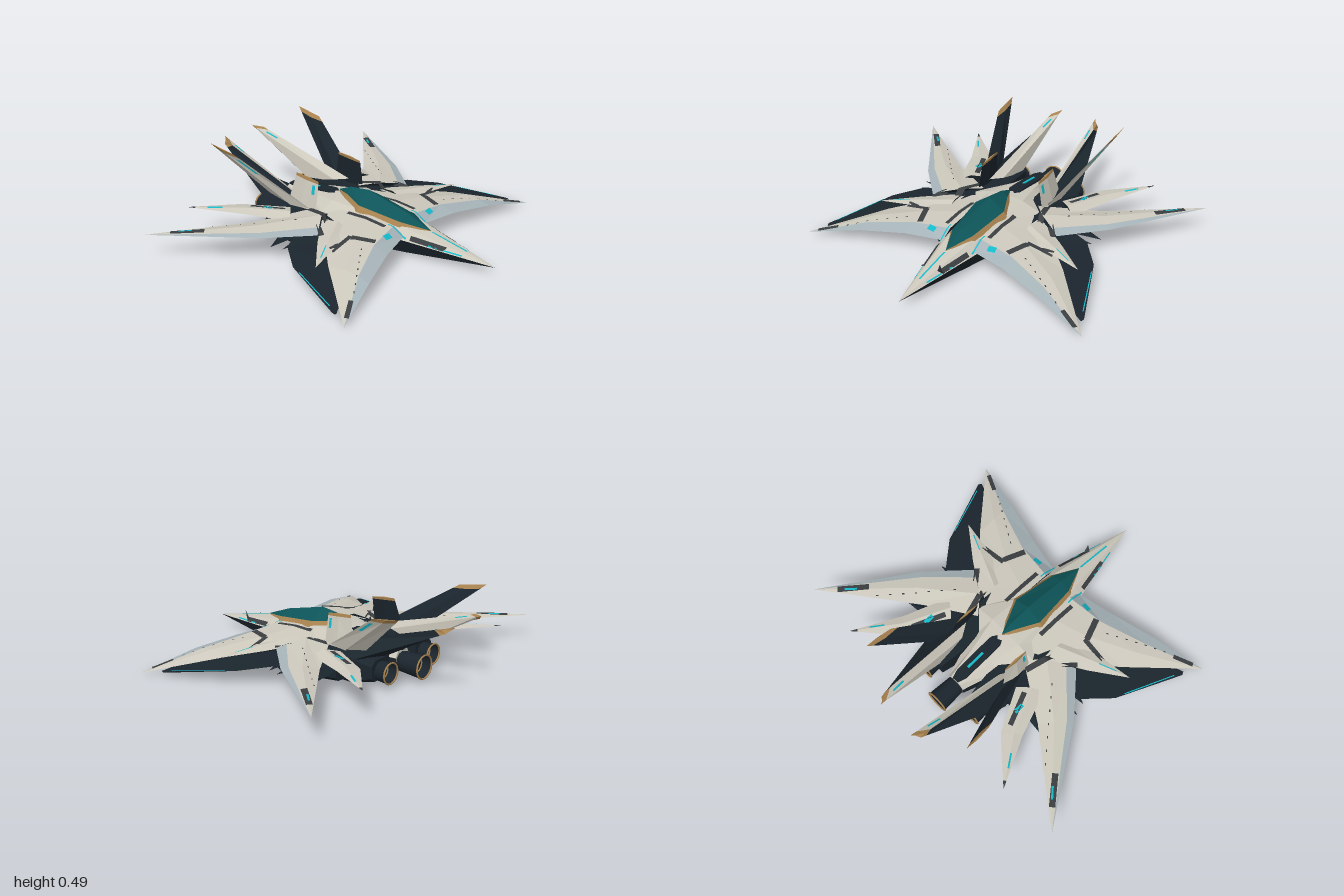
import * as THREE from 'three';

const colour = (name, color, extra = {}) => Object.assign(new THREE.MeshStandardMaterial({ color, ...extra }), { name });

export function createModel() {
  const ship = new THREE.Group();
  ship.name = 'starfighter';
  const both = { side: THREE.DoubleSide };
  const light = colour('hull ivory', 0xccc8bc);
  const steel = colour('edge blue grey', 0xa6b3b8);
  const dark = colour('dark navy', 0x1b252d, both);
  const grey = colour('panel charcoal', 0x3a3e41, both);
  const gold = colour('gold trim', 0xa98350, both);
  const teal = colour('canopy teal', 0x0d5458);
  const cyan = colour('cyan glow', 0x14b8c8, both);

  const mesh = (name, geo, mat) => {
    const m = new THREE.Mesh(geo, mat);
    m.name = name;
    ship.add(m);
    return m;
  };

  // Faceted solid through point loops; side strip j takes mats[j], the end beyond tip.at takes tip.mat
  function loft(name, loops, mats, { s = 1, tip } = {}) {
    const rings = loops.map(l => l.map(p => new THREE.Vector3(p[0] * s, p[1], p[2])));
    if (tip) {
      const [a, b] = rings.slice(-2);
      rings.splice(-1, 0, a.map((p, i) => p.clone().lerp(b[i], tip.at)));
    }
    const buckets = new Map();
    const n = mats.length;
    let volume = 0;
    const tri = (mat, a, b, c) => {
      const cross = b.clone().sub(a).cross(c.clone().sub(a));
      if (cross.length() < 1e-9) return;
      volume += a.dot(b.clone().cross(c));
      if (!buckets.has(mat)) buckets.set(mat, []);
      buckets.get(mat).push([a, b, c]);
    };
    for (let i = 0; i < rings.length - 1; i++) {
      const end = tip && i === rings.length - 2;
      for (let j = 0; j < n; j++) {
        const k = (j + 1) % n, m = end ? tip.mat : mats[j], A = rings[i], B = rings[i + 1];
        tri(m, A[j], A[k], B[k]);
        tri(m, A[j], B[k], B[j]);
      }
    }
    const first = rings[0], last = rings[rings.length - 1];
    for (let j = 1; j < n - 1; j++) {
      tri(mats[n - 1], first[0], first[j + 1], first[j]);
      tri(tip ? tip.mat : mats[n - 1], last[0], last[j], last[j + 1]);
    }
    const geo = new THREE.BufferGeometry(), pts = [], used = [...buckets.keys()];
    used.forEach((m, g) => {
      const start = pts.length;
      for (const [a, b, c] of buckets.get(m)) pts.push(...(volume > 0 ? [a, b, c] : [a, c, b]));
      geo.addGroup(start, pts.length - start, g);
    });
    geo.setFromPoints(pts);
    geo.computeVertexNormals();
    return mesh(name, geo, used);
  }
  const point = (p, n) => Array(n).fill(p);

  // Painted strip along an [x, z] path, draped on the target meshes
  const ray = new THREE.Raycaster();
  function paint(name, path, width, mat, targets) {
    const pos = [], idx = [];
    const v = path.map(p => new THREE.Vector2(p[0], p[1]));
    let y = 0.15;
    const drop = p => {
      ray.set(new THREE.Vector3(p.x, 2, p.y), new THREE.Vector3(0, -1, 0));
      const hit = ray.intersectObjects(targets, false)[0];
      if (hit) y = hit.point.y;
      pos.push(p.x, y + 0.004, p.y);
    };
    for (let i = 0; i < v.length - 1; i++) {
      const side = v[i + 1].clone().sub(v[i]).normalize();
      side.set(-side.y, side.x).multiplyScalar(width / 2);
      for (let k = 0; k <= 10; k++) {
        const c = v[i].clone().lerp(v[i + 1], k / 10), b = pos.length / 3;
        drop(c.clone().add(side));
        drop(c.clone().sub(side));
        if (k < 10) idx.push(b, b + 2, b + 1, b + 1, b + 2, b + 3);
      }
    }
    const geo = new THREE.BufferGeometry();
    geo.setAttribute('position', new THREE.Float32BufferAttribute(pos, 3));
    geo.setIndex(idx);
    geo.computeVertexNormals();
    mesh(name, geo, mat);
  }

  // Small flat mark on a fin face given by its root and tip edges
  function finMark(name, s, [r0, r1, t0, t1], us, vs) {
    const V = p => new THREE.Vector3(...p);
    const at = (u, v) => V(r0).lerp(V(r1), u).lerp(V(t0).lerp(V(t1), u), v);
    const pts = [[0, 0], [1, 0], [1, 1], [0, 0], [1, 1], [0, 1]].map(([i, j]) => at(us[i], vs[j]));
    pts.forEach(p => { p.x = (p.x + 0.004) * s; });
    const geo = new THREE.BufferGeometry().setFromPoints(pts);
    geo.computeVertexNormals();
    mesh(name, geo, cyan);
  }

  // Fuselage: z, top y, shoulder x/y, edge x/y, belly x/y
  const hull = loft('fuselage', [
    [0.93, 0.05, 0, 0.05, 0, 0.05, 0, 0.05],
    [0.4, 0.165, 0.07, 0.155, 0.125, 0.105, 0.08, 0.012],
    [0.1, 0.205, 0.1, 0.195, 0.18, 0.13, 0.13, 0],
    [-0.1, 0.215, 0.11, 0.205, 0.24, 0.16, 0.14, 0],
    [-0.28, 0.2, 0.07, 0.19, 0.13, 0.14, 0.12, 0],
    [-0.5, 0.175, 0.035, 0.168, 0.06, 0.12, 0.05, 0.03],
  ].map(([z, t, sx, sy, ex, ey, bx, by]) => [
    [0, t, z], [sx, sy, z], [ex, ey, z], [bx, by, z], [-bx, by, z], [-ex, ey, z], [-sx, sy, z],
  ]), [light, light, dark, dark, dark, light, light]);

  // Canopy with gold frame: z, base x/y, frame x/y, ridge y
  loft('canopy', [
    [0.51, 0, 0.145, 0, 0.147, 0.148],
    [0.35, 0.085, 0.155, 0.068, 0.18, 0.212],
    [0.08, 0.12, 0.185, 0.098, 0.218, 0.28],
    [-0.05, 0.06, 0.195, 0.036, 0.232, 0.265],
    [-0.13, 0, 0.21, 0, 0.226, 0.23],
  ].map(([z, bx, by, fx, fy, r]) => [[-bx, by, z], [-fx, fy, z], [0, r, z], [fx, fy, z], [bx, by, z]]),
  [gold, teal, teal, gold, gold]);

  // Dorsal spine plate with glow, nose line
  loft('spinePlate', [[-0.14, 0.015, 0.208], [-0.18, 0.038, 0.211], [-0.28, 0.038, 0.206], [-0.45, 0.036, 0.188], [-0.5, 0.02, 0.181]]
    .map(([z, x, y]) => [[-x, y - 0.03, z], [-x, y, z], [x, y, z], [x, y - 0.03, z]]), Array(4).fill(dark));
  const spineGlow = mesh('spineGlow', new THREE.BoxGeometry(0.014, 0.008, 0.12), cyan);
  spineGlow.position.set(0, 0.2, -0.34);
  spineGlow.rotation.x = -0.1;
  paint('noseLine', [[0, 0.75], [0, 0.52]], 0.01, cyan, [hull]);

  // Engines with flared nozzle and gold rims
  function engine(x, y, z, r) {
    const body = new THREE.CylinderGeometry(r, r * 0.8, 0.2, 12, 1, true).rotateX(-Math.PI / 2);
    mesh('engineNozzle', body, dark).position.set(x, y, z + 0.1);
    mesh('engineRim', new THREE.TorusGeometry(r, 0.005, 6, 16), gold).position.set(x, y, z);
    mesh('engineCore', new THREE.CircleGeometry(r * 0.9, 12), dark).position.set(x, y, z + 0.06);
    mesh('engineInnerRing', new THREE.TorusGeometry(r * 0.65, 0.004, 6, 12), gold).position.set(x, y, z + 0.05);
  }
  engine(0, 0.09, -0.65, 0.068);

  for (const s of [1, -1]) {
    const edgedMats = [steel, light, light, dark, dark];
    const bladeMats = [light, light, dark, dark];

    // Forward-swept main wing
    const wing = loft('mainWing', [
      [[0.1, 0.12, 0.4], [0.1, 0.165, 0.33], [0.1, 0.185, 0.15], [0.1, 0.18, -0.12], [0.1, 0.07, 0.1]],
      [[0.33, 0.115, 0.45], [0.33, 0.145, 0.36], [0.33, 0.158, 0.23], [0.36, 0.145, 0.03], [0.33, 0.09, 0.2]],
      [[0.6, 0.085, 0.53], [0.6, 0.104, 0.46], [0.6, 0.115, 0.38], [0.6, 0.1, 0.26], [0.6, 0.07, 0.4]],
      point([0.925, 0.01, 0.617], 5),
    ], edgedMats, { s });

    // Dark lower wing behind it
    const under = loft('lowerWing', [
      [[0.15, 0.11, 0.32], [0.2, 0.145, -0.17], [0.15, 0.06, 0.1]],
      [[0.55, 0.09, 0.36], [0.57, 0.11, -0.05], [0.55, 0.07, 0.15]],
      [[0.7, 0.065, 0.45], [0.7, 0.085, 0.1], [0.7, 0.05, 0.25]],
      [[0.86, 0.026, 0.52], [0.87, 0.028, 0.5], [0.86, 0.018, 0.51]],
    ], [dark, dark, dark], { s });

    // Small feather, long rear spike and short rear spike
    const feather = loft('wingFeather', [
      [[0.26, 0.15, 0.12], [0.26, 0.175, 0.06], [0.28, 0.16, -0.04], [0.26, 0.12, 0.03]],
      [[0.45, 0.14, 0.2], [0.46, 0.155, 0.15], [0.48, 0.14, 0.09], [0.46, 0.115, 0.14]],
      point([0.68, 0.12, 0.24], 4),
    ], bladeMats, { s });
    const spike = loft('longSpike', [
      [[0.43, 0.15, 0.05], [0.38, 0.172, 0.02], [0.28, 0.195, -0.04], [0.19, 0.18, -0.14], [0.28, 0.12, -0.05]],
      [[0.64, 0.147, -0.18], [0.612, 0.16, -0.21], [0.57, 0.172, -0.27], [0.51, 0.15, -0.34], [0.57, 0.13, -0.26]],
      point([1, 0.15, -0.715], 5),
    ], edgedMats, { s });
    const shortSpike = loft('shortSpike', [
      [[0.4, 0.16, -0.18], [0.34, 0.188, -0.22], [0.27, 0.17, -0.28], [0.32, 0.13, -0.25]],
      [[0.5, 0.165, -0.45], [0.46, 0.182, -0.48], [0.405, 0.17, -0.53], [0.46, 0.15, -0.48]],
      point([0.645, 0.18, -0.74], 4),
    ], bladeMats, { s, tip: { at: 0.85, mat: grey } });

    // Dark barbs poking out behind the wing
    for (const [rx, rz, tx, tz] of [[0.46, -0.15, 0.62, -0.13], [0.42, -0.26, 0.56, -0.36], [0.4, -0.02, 0.6, -0.06]]) {
      loft('darkBarb', [
        [[rx - 0.1, 0.11, rz + 0.08], [rx - 0.1, 0.15, rz], [rx - 0.1, 0.11, rz - 0.08]],
        point([tx, 0.1, tz], 3),
      ], [dark, dark, dark], { s });
    }

    // Engine nacelle and outer pod
    const box = (x0, x1, y0, y1, z) => [[x0, y0, z], [x1 - 0.02, y0, z], [x1, y0 + 0.02, z], [x1, y1 - 0.03, z], [x1 - 0.03, y1, z], [x0, y1, z]];
    const darks = Array(6).fill(dark);
    loft('nacelle', [box(0.12, 0.22, 0.02, 0.1, 0.3), box(0.13, 0.28, 0.003, 0.16, 0.05),
      box(0.1, 0.28, 0.003, 0.175, -0.35), box(0.12, 0.27, 0.04, 0.16, -0.5)], darks, { s });
    loft('outerPod', [box(0.3, 0.4, 0.06, 0.1, 0.2), box(0.3, 0.46, 0.03, 0.13, 0), box(0.26, 0.4, 0.05, 0.15, -0.36)], darks, { s });
    engine(s * 0.195, 0.09, -0.57, 0.06);

    // Outward-canted tail fin: light outside, dark inside
    const goldTip = at => ({ s, tip: { at, mat: gold } });
    loft('tailFin', [
      [[0.23, 0.16, -0.39], [0.2, 0.16, -0.28], [0.22, 0.16, -0.15], [0.245, 0.16, -0.28]],
      [[0.4, 0.49, -0.77], [0.392, 0.472, -0.69], [0.392, 0.46, -0.6], [0.402, 0.472, -0.69]],
    ], [dark, dark, light, light], goldTip(0.92));
    finMark('finGlow', s, [[0.22, 0.16, -0.15], [0.245, 0.16, -0.28], [0.392, 0.46, -0.6], [0.402, 0.472, -0.69]], [0.25, 0.5], [0.62, 0.87]);

    // Rear blade fin: light inner edge, dark outside
    const blade = loft('bladeFin', [
      [[0.14, 0.15, -0.48], [0.155, 0.19, -0.3], [0.205, 0.2, -0.22], [0.31, 0.16, -0.4]],
      [[0.13, 0.4, -0.91], [0.12, 0.412, -0.925], [0.162, 0.4, -0.86], [0.16, 0.38, -0.89]],
    ], [light, light, dark, dark], goldTip(0.94));

    // Small upright fin
    loft('smallFin', [
      [[0.225, 0.16, -0.13], [0.215, 0.16, -0.23], [0.225, 0.16, -0.34], [0.24, 0.16, -0.23]],
      [[0.195, 0.34, -0.13], [0.19, 0.352, -0.21], [0.195, 0.36, -0.29], [0.203, 0.352, -0.21]],
    ], [dark, dark, light, light], goldTip(0.92));
    finMark('smallFinGlow', s, [[0.225, 0.16, -0.13], [0.24, 0.16, -0.23], [0.195, 0.34, -0.13], [0.203, 0.352, -0.21]], [0.2, 0.42], [0.55, 0.85]);

    // Painted panels and glowing lines
    const marks = (name, mat, list) => list.forEach(([path, w, on]) =>
      paint(name, path.map(([x, z]) => [x * s, z]), w, mat, on));
    marks('darkPanel', grey, [
      [[[0.145, 0.04], [0.145, 0.3]], 0.025, [wing, hull]],
      [[[0.3, 0.35], [0.35, 0.22]], 0.035, [wing]],
      [[[0.34, 0.21], [0.5, 0.2]], 0.028, [wing, feather]],
      [[[0.24, -0.17], [0.31, 0.08]], 0.035, [spike, hull, wing]],
      [[[0.055, 0.65], [0.1, 0.44]], 0.022, [hull]],
      [[[0.76, 0.535], [0.87, 0.59]], 0.025, [wing]],
      [[[0.78, -0.47], [0.9, -0.615]], 0.035, [spike]],
      [[[0.33, -0.27], [0.41, -0.46]], 0.03, [shortSpike]],
      [[[0.36, 0.0], [0.42, 0.07]], 0.03, [spike, feather, wing]],
    ]);
    marks('glowLine', cyan, [
      [[[0.18, 0.365], [0.23, 0.36]], 0.028, [wing]],
      [[[0.115, 0.3], [0.112, 0.42]], 0.008, [hull, wing]],
      [[[0.04, 0.74], [0.085, 0.55]], 0.006, [hull]],
      [[[0.72, 0.16], [0.84, 0.46]], 0.006, [under]],
      [[[0.82, -0.53], [0.87, -0.585]], 0.012, [spike]],
      [[[0.53, -0.57], [0.58, -0.64]], 0.01, [shortSpike]],
      [[[0.14, -0.82], [0.15, -0.74]], 0.01, [blade]],
      [[[0.5, 0.165], [0.6, 0.21]], 0.006, [feather]],
      [[[0.375, -0.33], [0.375, -0.39]], 0.026, [shortSpike]],
    ]);
    // Rivet rows
    for (let i = 0; i < 7; i++) {
      const x = 0.4 + i * 0.05;
      marks('rivet', grey, [
        [[[x, 0.33 + i * 0.03], [x + 0.012, 0.337 + i * 0.03]], 0.006, [wing]],
        [[[x, -0.12 - i * 0.058], [x + 0.01, -0.13 - i * 0.058]], 0.006, [spike]],
      ]);
    }
  }
  return ship;
}
